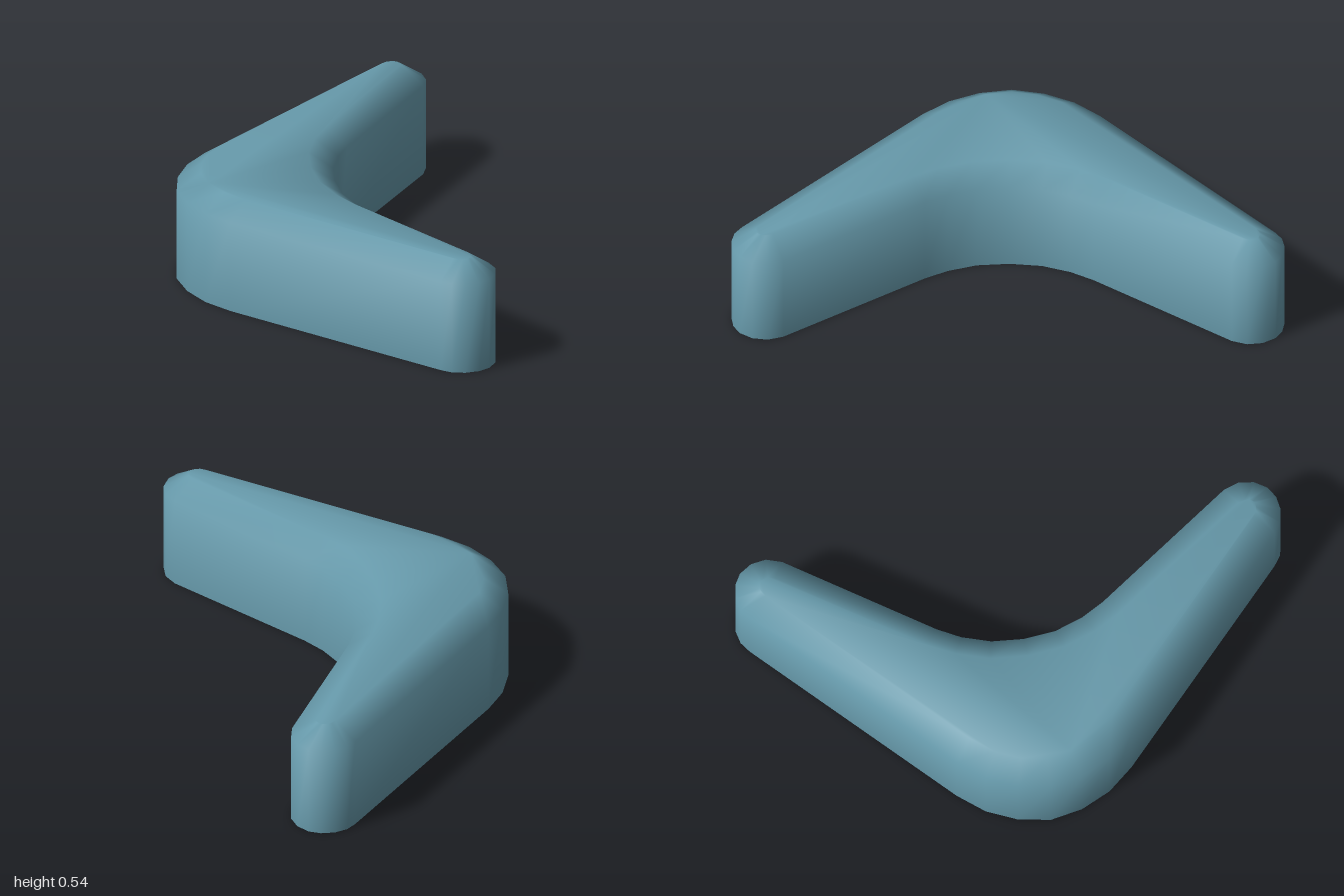
import * as THREE from 'three';
import { toCreasedNormals } from 'three/addons/utils/BufferGeometryUtils.js';

// Half of the plan outline [x, z], from the outer elbow round one tip to the inner elbow
const HALF = [
  [-0.84, -0.84], [-0.71, -0.93], [-0.56, -0.985], [-0.4, -1],
  [0.83, -0.97], [0.89, -0.96], [0.945, -0.925], [0.985, -0.87], [1, -0.81],
  [0.985, -0.74], [0.94, -0.68], [0.87, -0.645],
  [0.07, -0.5], [-0.05, -0.465], [-0.18, -0.4], [-0.3, -0.3],
];

// Whole outline mirrored across the diagonal, counter-clockwise in (x, -z)
function planOutline() {
  const mirrored = HALF.slice(1, -1).reverse().map(([x, z]) => [z, x]);
  return [...HALF, ...mirrored].reverse().map(([x, z]) => new THREE.Vector2(x, -z));
}

// Move every edge inward by d, joining them with mitres
function inset(points, d) {
  const n = points.length;
  const normal = (a, b) => new THREE.Vector2(a.y - b.y, b.x - a.x).normalize();
  return points.map((p, i) => {
    const n1 = normal(points[(i + n - 1) % n], p);
    const n2 = normal(p, points[(i + 1) % n]);
    const m = n1.clone().add(n2);
    return p.clone().addScaledVector(m, d / (1 + n1.dot(n2)));
  });
}

// Stack outline rings into a closed solid with flat caps
function loft(rings) {
  const n = rings[0].points.length;
  const pos = [], idx = [];
  for (const { points, y } of rings) for (const p of points) pos.push(p.x, y, -p.y);
  for (let r = 0; r < rings.length - 1; r++) {
    for (let i = 0; i < n; i++) {
      const j = (i + 1) % n, a = r * n, b = a + n;
      idx.push(a + i, a + j, b + j, a + i, b + j, b + i);
    }
  }
  const last = (rings.length - 1) * n;
  for (const [a, b, c] of THREE.ShapeUtils.triangulateShape(rings[0].points, [])) idx.push(a, c, b);
  for (const [a, b, c] of THREE.ShapeUtils.triangulateShape(rings.at(-1).points, [])) {
    idx.push(last + a, last + b, last + c);
  }
  const geometry = new THREE.BufferGeometry();
  geometry.setAttribute('position', new THREE.Float32BufferAttribute(pos, 3));
  geometry.setIndex(idx);
  return toCreasedNormals(geometry, 1.1);
}

export function createModel() {
  const group = new THREE.Group();
  group.name = 'boomerang';
  const outline = planOutline();

  // Upright walls, then a sloping bevel up to the flat top
  const body = new THREE.Mesh(
    loft([
      { points: outline, y: 0 },
      { points: outline, y: 0.46 },
      { points: inset(outline, 0.115), y: 0.54 },
    ]),
    new THREE.MeshStandardMaterial({ color: 0x6699aa })
  );
  body.name = 'curvedBody';
  group.add(body);
  return group;
}
